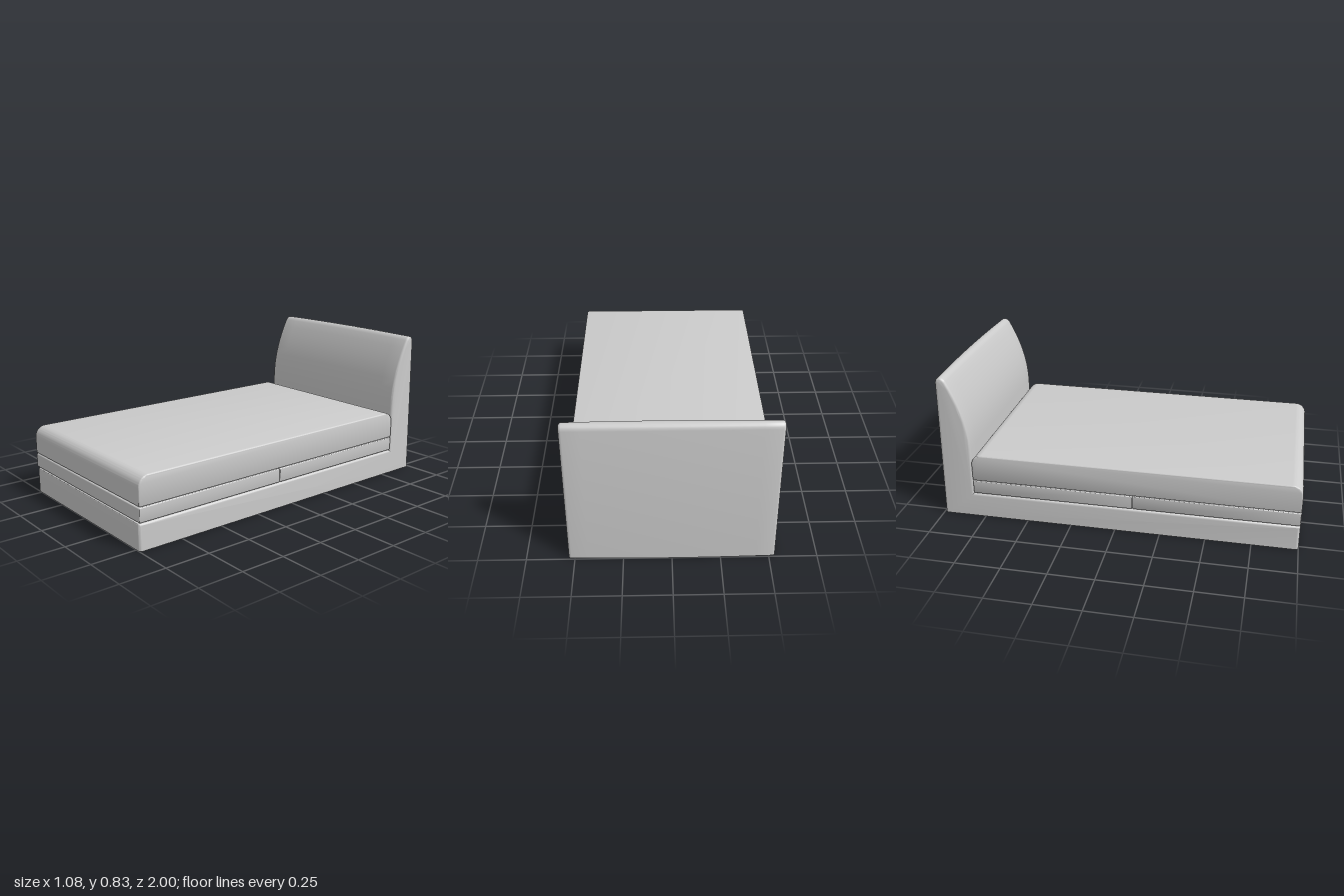
import * as THREE from 'three';
import { toCreasedNormals } from 'three/addons/utils/BufferGeometryUtils.js';

const grey = new THREE.MeshStandardMaterial({ color: 0xcccccc });
const greyShell = new THREE.MeshStandardMaterial({ color: 0xcccccc, side: THREE.DoubleSide });

// Sweep a side profile drawn in (z, y) across the width, with softened side edges.
function sweep(shape, halfWidth, bevel, steps = 1) {
  const geo = new THREE.ExtrudeGeometry(shape, {
    depth: 2 * (halfWidth - bevel), steps, curveSegments: 8,
    bevelEnabled: true, bevelThickness: bevel, bevelSize: bevel, bevelOffset: -bevel, bevelSegments: 4,
  });
  geo.translate(0, 0, -(halfWidth - bevel));
  geo.rotateY(-Math.PI / 2);
  return geo;
}

// Rectangle in (z, y) with separate radii for back-top, front-top and the bottom corners.
function slabShape(z0, z1, y0, y1, backTop, frontTop, bottom) {
  const s = new THREE.Shape();
  s.moveTo(z0 + bottom, y0);
  s.lineTo(z1 - bottom, y0);
  s.absarc(z1 - bottom, y0 + bottom, bottom, -Math.PI / 2, 0, false);
  s.absarc(z1 - frontTop, y1 - frontTop, frontTop, 0, Math.PI / 2, false);
  s.absarc(z0 + backTop, y1 - backTop, backTop, Math.PI / 2, Math.PI, false);
  s.absarc(z0 + bottom, y0 + bottom, bottom, Math.PI, Math.PI * 1.5, false);
  return s;
}

// Base and headboard: one hollow shell, open underneath.
function baseGeometry() {
  const w = 0.533;
  const s = new THREE.Shape();
  s.moveTo(-0.992, -0.05);
  s.lineTo(1, -0.05);
  s.lineTo(1, 0.134);
  s.quadraticCurveTo(1, 0.142, 0.992, 0.142);
  s.lineTo(-0.81, 0.142);
  s.lineTo(-0.81, 0.42);
  s.bezierCurveTo(-0.812, 0.57, -0.86, 0.7, -0.918, 0.808);
  s.bezierCurveTo(-0.935, 0.838, -0.974, 0.836, -0.976, 0.8);
  s.lineTo(-0.992, 0);
  const geo = sweep(s, w, 0.015, 12);

  // Trim at the floor, and crown the top and back slightly towards the middle.
  const p = geo.attributes.position;
  for (let i = 0; i < p.count; i++) {
    const bulge = 1 - (p.getX(i) / w) ** 2;
    p.setY(i, Math.max(0, p.getY(i)) * (1 + 0.006 * bulge));
    if (p.getZ(i) < -0.955) p.setZ(i, p.getZ(i) - 0.008 * bulge);
  }

  // Leave out the floor faces.
  const kept = [];
  for (let i = 0; i < p.count; i += 3) {
    if (Math.max(p.getY(i), p.getY(i + 1), p.getY(i + 2)) < 1e-5) continue;
    for (let j = i; j < i + 3; j++) kept.push(p.getX(j), p.getY(j), p.getZ(j));
  }
  const shell = new THREE.BufferGeometry();
  shell.setAttribute('position', new THREE.Float32BufferAttribute(kept, 3));
  return shell;
}

export function createModel() {
  const model = new THREE.Group();
  model.name = 'daybed';

  const add = (name, geo, material = grey) => {
    const mesh = new THREE.Mesh(toCreasedNormals(geo, 0.6), material);
    mesh.name = name;
    model.add(mesh);
  };

  add('baseAndHeadboard', baseGeometry(), greyShell);

  // Middle layer, split into two panels with a narrow seam
  add('frontPanel', sweep(slabShape(0.101, 1, 0.148, 0.226, 0.006, 0.006, 0.006), 0.537, 0.006));
  add('backPanel', sweep(slabShape(-0.808, 0.099, 0.148, 0.226, 0.006, 0.006, 0.006), 0.537, 0.006));

  // Mattress, with larger rounding on the top front and back edges
  add('mattress', sweep(slabShape(-0.809, 1, 0.229, 0.386, 0.06, 0.06, 0.009), 0.538, 0.008));

  return model;
}
